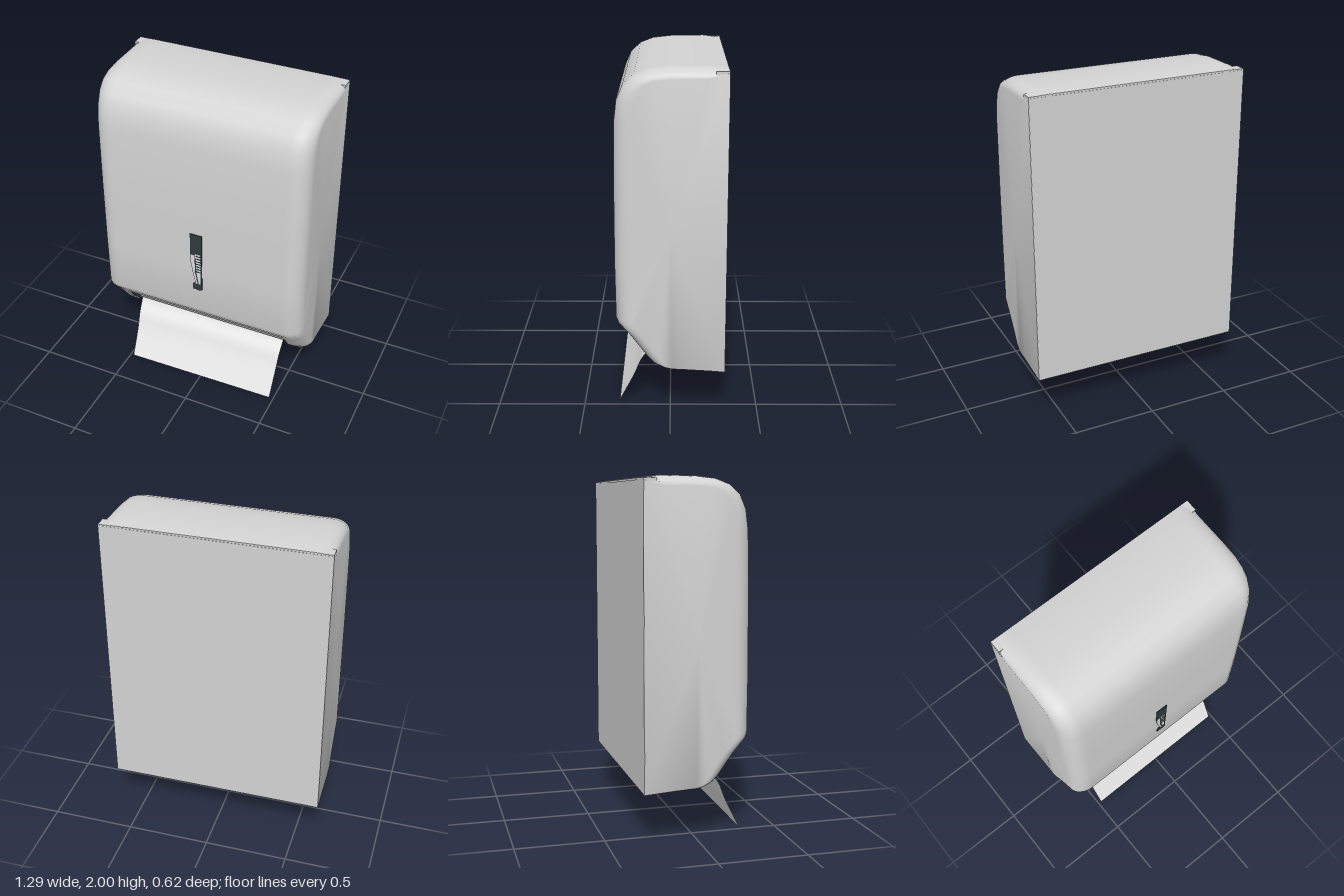
import * as THREE from 'three';
import { toCreasedNormals } from 'three/addons/utils/BufferGeometryUtils.js';

const mat = (name, color, side = THREE.FrontSide) => {
  const m = new THREE.MeshStandardMaterial({ color, side });
  m.name = name;
  return m;
};

// Side outline of the housing as [z, y], from the back of the floor round to the back of the roof
const END = [
  [-0.305, 0.285], [-0.1, 0.283], [0, 0.288], [0.05, 0.298], [0.1, 0.32],
  [0.14, 0.36], [0.19, 0.43], [0.23, 0.485], [0.295, 0.56], [0.305, 0.59],
  [0.308, 0.9], [0.306, 1.3], [0.3, 1.7], [0.285, 1.82], [0.25, 1.9],
  [0.19, 1.955], [0.11, 1.985], [0, 1.997], [-0.2, 2.0], [-0.305, 1.985],
];
// The same outline with the paper slot cut into it
const SLOT = END.map((p) => [...p]);
SLOT[4] = [0.05, 0.4];
SLOT[5] = [0.05, 0.485];
SLOT[6] = [0.12, 0.485];

// Outline drawn in along its normals to round the vertical and top edges
function inset(e) {
  return END.map(([z, y], i) => {
    if (i === 0 || i === END.length - 1) return [z, y - (i ? 0.015 * e : 0)];
    const [z0, y0] = END[i - 1], [z1, y1] = END[i + 1];
    const len = Math.hypot(z1 - z0, y1 - y0);
    const nz = (y1 - y0) / len, ny = -(z1 - z0) / len;
    return [z - 0.1 * e * Math.max(nz, 0), y - (ny > 0 ? 0.055 : 0.02) * e * ny];
  });
}

function housingGeometry() {
  const half = [{ x: 0.53, p: SLOT }, { x: 0.53, p: END }];
  const steps = 7;
  for (let k = 0; k <= steps; k++) {
    const a = (k / steps) * Math.PI / 2;
    half.push({ x: 0.545 + 0.1 * Math.sin(a), p: inset(1 - Math.cos(a)) });
  }
  const rows = [...half.map((r) => ({ x: -r.x, p: r.p })).reverse(), ...half];
  const n = END.length, pos = [];
  const pt = (r, i) => [r.x, r.p[i % n][1], r.p[i % n][0]];
  for (let s = 0; s < rows.length - 1; s++) {
    for (let i = 0; i < n; i++) {
      const a = pt(rows[s], i), b = pt(rows[s], i + 1);
      const c = pt(rows[s + 1], i + 1), d = pt(rows[s + 1], i);
      if (String(a) === String(d) && String(b) === String(c)) continue;
      pos.push(...a, ...d, ...c, ...a, ...c, ...b);
    }
  }
  // Flat sides
  for (const r of [rows[0], rows[rows.length - 1]]) {
    for (let i = 0; i < n; i++) {
      const c = [r.x, 1.1, 0], p = pt(r, i), q = pt(r, i + 1);
      pos.push(...c, ...(r.x > 0 ? [...q, ...p] : [...p, ...q]));
    }
  }
  const g = new THREE.BufferGeometry();
  g.setAttribute('position', new THREE.Float32BufferAttribute(pos, 3));
  return toCreasedNormals(g, 0.6);
}

// Sheet following a [z, y] path, narrowing and tilting a little towards its end
function sheetGeometry(path, topHalf, endHalf, tilt) {
  const curve = new THREE.SplineCurve(path.map((p) => new THREE.Vector2(...p)));
  const g = new THREE.PlaneGeometry(2, 1, 1, 16);
  const pos = g.attributes.position;
  for (let i = 0; i < pos.count; i++) {
    const t = 0.5 - pos.getY(i), side = pos.getX(i);
    const p = curve.getPoint(t);
    const w = topHalf + (endHalf - topHalf) * t;
    pos.setXYZ(i, side * w, p.y + tilt * t * (side + 1) / 2, p.x);
  }
  g.computeVertexNormals();
  return g;
}

export function createModel() {
  const model = new THREE.Group();
  model.name = 'paperTowelDispenser';
  const shell = mat('shellGrey', 0xd4d4d4);
  const paper = mat('paperWhite', 0xebebeb, THREE.DoubleSide);
  const dark = mat('darkSlate', 0x2f3a3c);
  const light = mat('windowGrey', 0xdcdcdc);

  const add = (name, geometry, material, x = 0, y = 0, z = 0) => {
    const m = new THREE.Mesh(geometry, material);
    m.name = name;
    m.position.set(x, y, z);
    model.add(m);
    return m;
  };
  const box = (name, w, h, d, material, x, y, z) =>
    add(name, new THREE.BoxGeometry(w, h, d), material, x, y, z);
  const plate = (name, points, depth, material, z) => {
    const s = new THREE.Shape(points.map((p) => new THREE.Vector2(...p)));
    return add(name, new THREE.ExtrudeGeometry(s, { depth, bevelEnabled: false }), material, 0, 0, z);
  };

  add('housing', housingGeometry(), shell);

  // Wall plate and its two corner tabs
  box('backPlate', 1.288, 1.69, 0.008, shell, 0, 1.13, -0.303);
  for (const s of [-1, 1]) {
    const tab = new THREE.Shape([[0.644, 0.235], [0.55, 0.235], [0.5, 0.295], [0.5, 0.306], [0.644, 0.306]]
      .map(([x, y]) => new THREE.Vector2(s * x, y)));
    const m = add('cornerTab', new THREE.ExtrudeGeometry(tab, { depth: 0.02, bevelEnabled: false }), shell, 0, 1.963, 0);
    m.rotation.x = -Math.PI / 2;
  }

  // Dark lining of the paper slot
  box('slotBack', 1.056, 0.17, 0.006, dark, 0, 0.397, 0.053);
  box('slotTop', 1.056, 0.006, 0.15, dark, 0, 0.482, 0.13);
  for (const s of [-1, 1]) {
    plate('slotSide', [[-0.05, 0.32], [-0.1, 0.33], [-0.14, 0.37], [-0.18, 0.43], [-0.21, 0.475], [-0.05, 0.475]],
      0.006, dark, 0).rotation.y = Math.PI / 2;
    model.children[model.children.length - 1].position.x = s * 0.526 - 0.003;
  }

  // Hanging towel and the folded sheet above it
  add('paperTowel', sheetGeometry([[0.07, 0.47], [0.1, 0.41], [0.125, 0.34], [0.17, 0.27], [0.21, 0.17], [0.295, 0]],
    0.497, 0.48, 0.02), paper);
  add('foldedSheet', sheetGeometry([[0.13, 0.475], [0.15, 0.44], [0.15, 0.41], [0.13, 0.375]], 0.5, 0.49, 0), paper);

  // Lock and level window
  plate('lockRecess', [[-0.04, 1.145], [0.034, 1.145], [0.034, 0.75], [0.02, 0.74], [-0.026, 0.745], [-0.026, 0.78],
    [-0.005, 0.8], [-0.02, 0.88], [-0.04, 0.97]], 0.008, dark, 0.304);
  plate('windowCheek', [[-0.038, 1.0], [-0.012, 1.0], [-0.008, 0.87], [0.008, 0.79], [-0.006, 0.79], [-0.022, 0.86],
    [-0.038, 0.95]], 0.003, light, 0.311);
  plate('windowStrip', [[-0.008, 1.01], [0.026, 1.01], [0.026, 0.79], [0.014, 0.79], [0, 0.87]], 0.003, light, 0.311);
  for (let i = 0; i < 7; i++) {
    box('levelMark', 0.03, 0.006, 0.003, dark, 0.011, 0.88 + i * 0.019, 0.3135);
  }
  return model;
}
